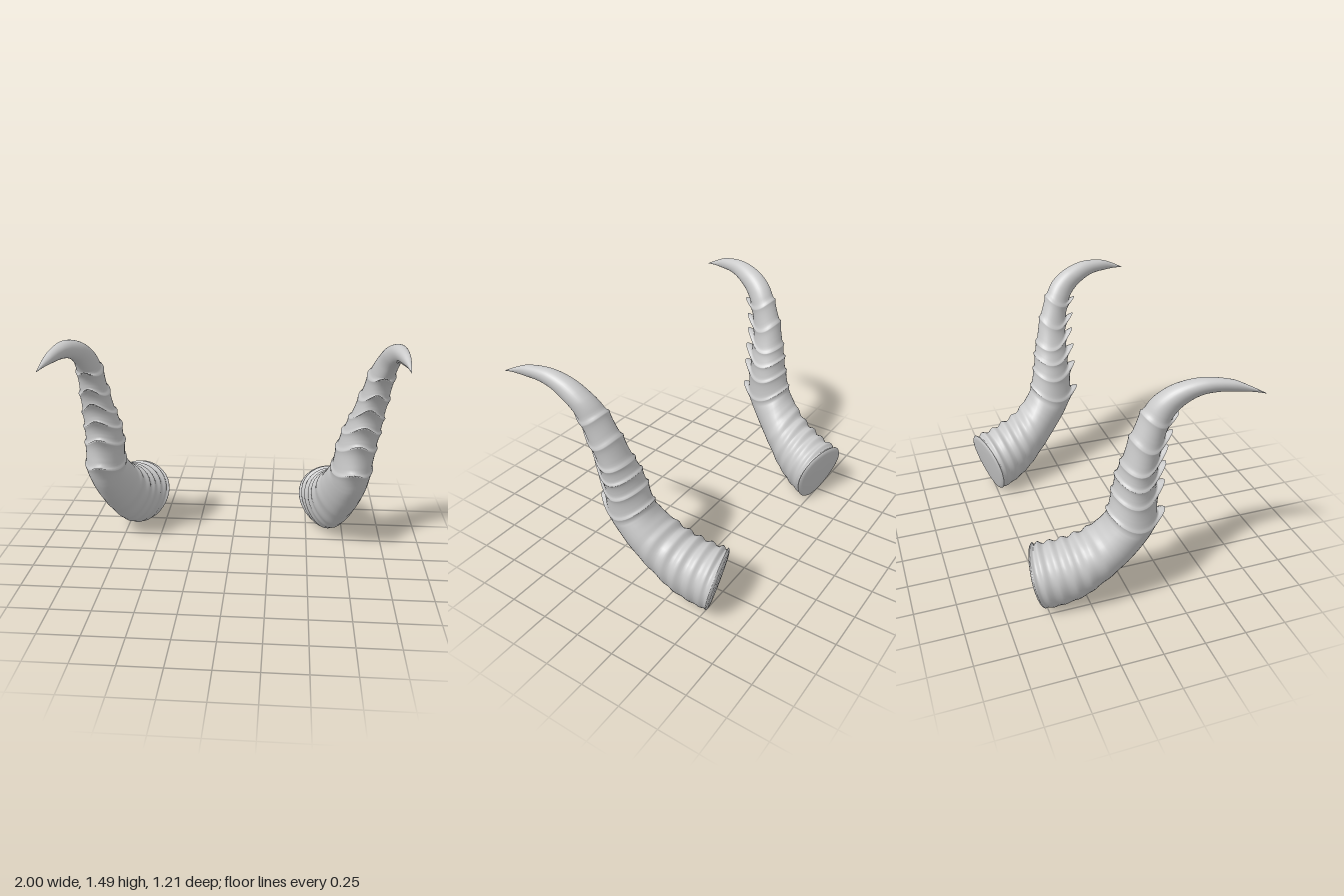
import * as THREE from 'three';

// Stations along a horn: front edge z,y | back edge z,y | half width
const EDGES = [
  [-.485, .01, -.58, .41, .175], [-.44, .012, -.54, .425, .166], [-.37, .035, -.47, .44, .162],
  [-.29, .08, -.40, .465, .16], [-.22, .14, -.33, .495, .155], [-.12, .25, -.26, .545, .15],
  [-.02, .37, -.21, .60, .14], [.065, .495, -.185, .645, .13], [.11, .62, -.168, .70, .122],
  [.10, .80, -.14, .815, .118], [.10, .92, -.122, .915, .112], [.10, 1.03, -.10, 1.0, .10],
  [.115, 1.13, -.06, 1.16, .085], [.14, 1.24, -.005, 1.30, .074], [.20, 1.325, .055, 1.39, .065],
  [.28, 1.38, .15, 1.455, .055], [.36, 1.40, .28, 1.487, .042], [.46, 1.40, .42, 1.472, .027],
  [.54, 1.395, .51, 1.435, .013], [.60, 1.385, .60, 1.387, .001],
];
// Distance of the horn's centre line from the middle, per station
const RIGHT_X = [.655, .67, .69, .715, .735, .765, .79, .805, .81, .805, .81, .825, .84, .85, .87, .895, .925, .955, .98, 1];
const LEFT_X = [.63, .64, .655, .675, .69, .715, .74, .755, .765, .785, .81, .835, .87, .90, .93, .945, .96, .975, .985, .99];

const SEGMENTS = 36;
const FIRST_RING = 8, LAST_RING = 13;
// Sample positions between stations, and the ring height there: slow rise, sharp drop
const STEPS = [0, .07, .18, .3, .42, .5, .62, .75, .87, .94];
const RISE = [1, .3, 0, 0, 0, .03, .1, .25, .5, .8];

const spline = (p0, p1, p2, p3, t) =>
  p1 + .5 * t * (p2 - p0 + t * (2 * p0 - 5 * p1 + 4 * p2 - p3 + t * (3 * (p1 - p2) + p3 - p0)));

function sample(get, i, t) {
  const at = (k) => get(Math.min(Math.max(k, 0), EDGES.length - 1));
  return spline(at(i - 1), at(i), at(i + 1), at(i + 2), t);
}

function createHorn(name, side, centres, tipShift) {
  const positions = [];
  const index = [];
  let rows = 0;

  // One egg-shaped cross-section, narrower along the front keel
  function addSection(i, k, scale = 1, push = 0) {
    const t = STEPS[k], s = i + t;
    const [fz, fy, bz, by, w] = [0, 1, 2, 3, 4].map((c) => sample((n) => EDGES[n][c], i, t));
    const cx = sample((n) => centres[n], i, t);
    const mz = (fz + bz) / 2, my = (fy + by) / 2;
    const hz = (fz - bz) / 2, hy = (fy - by) / 2;
    const half = Math.hypot(hz, hy) || 1;
    const yaw = .28 * Math.max(0, 1 - s / 7);
    const dip = .045 * THREE.MathUtils.smoothstep(s, 6.5, 8) * (1 - THREE.MathUtils.smoothstep(s, 12, 14));
    const nearest = t < .1 ? i : i + 1;
    const ring = nearest >= FIRST_RING && nearest <= LAST_RING ? RISE[k] : 0;
    const wrinkle = .009 * (1 - THREE.MathUtils.smoothstep(s, 4.2, 6));
    const lift = tipShift * THREE.MathUtils.smoothstep(s, 14, 19);

    for (let j = 0; j < SEGMENTS; j++) {
      const a = j / SEGMENTS * Math.PI * 2, c = Math.cos(a), sn = Math.sin(a);
      const fold = wrinkle * (.6 - .4 * c) * Math.cos(2 * Math.PI * s + .8 * Math.sin(2 * a));
      const grow = scale * (1 + (ring * .011 + fold) / half);
      const tooth = ring * Math.pow(Math.max(0, c), 5);
      const o = sn * (1 - .22 * c) * w * grow;
      positions.push(
        side * (cx + o),
        my + hy * c * grow - dip * sn * sn + tooth * .04 + lift - push * .2,
        mz + hz * c * grow - o * yaw + tooth * .042 - lift * .7 - push,
      );
    }
    rows++;
  }

  // Domed base
  addSection(0, 0, 0, .018);
  addSection(0, 0, .5, .017);
  addSection(0, 0, .86, .013);
  addSection(0, 0, .96, .008);
  // Wrinkled root, ringed shaft and smooth hooked tip
  for (let i = 0; i < EDGES.length - 1; i++) {
    for (let k = 0; k < STEPS.length; k++) addSection(i, k);
  }
  addSection(EDGES.length - 1, 0, 0);

  for (let r = 0; r < rows - 1; r++) {
    for (let j = 0; j < SEGMENTS; j++) {
      const n = (j + 1) % SEGMENTS;
      const a = r * SEGMENTS + j, b = r * SEGMENTS + n;
      const c = a + SEGMENTS, d = b + SEGMENTS;
      if (side > 0) index.push(a, b, c, b, d, c);
      else index.push(a, c, b, b, c, d);
    }
  }

  const geometry = new THREE.BufferGeometry();
  geometry.setAttribute('position', new THREE.Float32BufferAttribute(positions, 3));
  geometry.setIndex(index);
  geometry.computeVertexNormals();
  const horn = new THREE.Mesh(geometry, new THREE.MeshStandardMaterial({ color: 0xcccccc }));
  horn.name = name;
  return horn;
}

export function createModel() {
  const group = new THREE.Group();
  group.name = 'hornPair';
  group.add(
    createHorn('rightHorn', -1, RIGHT_X, 0),
    createHorn('leftHorn', 1, LEFT_X, .028),
  );
  return group;
}
